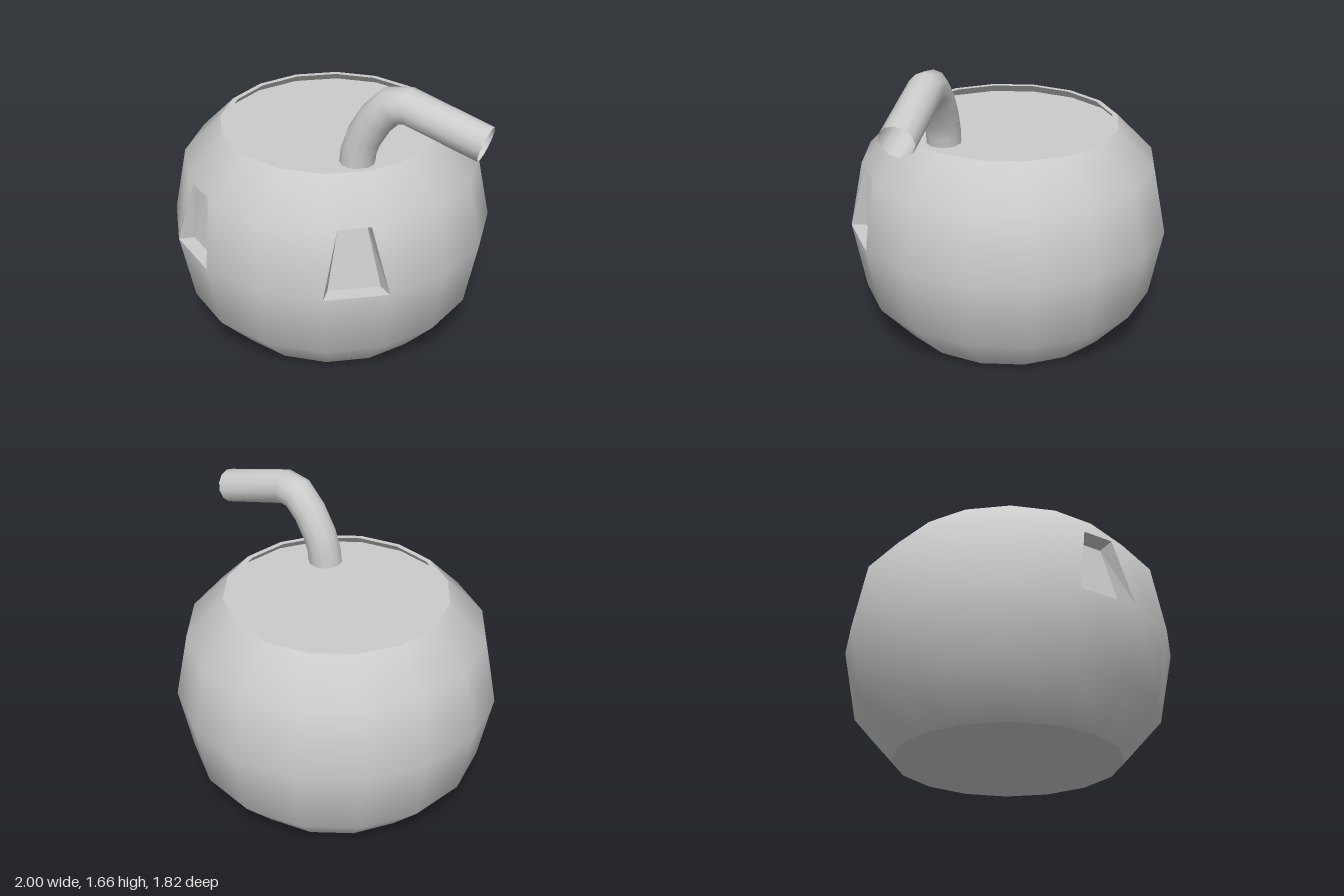
import * as THREE from 'three';

const SIDES = 16;
const CENTER_X = -0.09;
const V = (x, y, z) => new THREE.Vector3(x, y, z);
const material = new THREE.MeshStandardMaterial({ color: 0xcccccc });
const thinMaterial = new THREE.MeshStandardMaterial({ color: 0xcccccc, side: THREE.DoubleSide });

function part(name, geometry, mat = material) {
  const mesh = new THREE.Mesh(geometry, mat);
  mesh.name = name;
  return mesh;
}

function lathe(profile) {
  return new THREE.LatheGeometry(profile.map(([r, y]) => new THREE.Vector2(r, y)), SIDES);
}

// Flat-shaded quads, each given as four corners anticlockwise from outside
function quads(list) {
  const points = list.flatMap(([a, b, c, d]) => [a, b, c, a, c, d]);
  const geometry = new THREE.BufferGeometry().setFromPoints(points);
  geometry.computeVertexNormals();
  return geometry;
}

const WALL = [[0.625, 0], [0.835, 0.235], [0.91, 0.63], [0.835, 1.01], [0.625, 1.225]];
const WINDOW_ROW = 2;
const WINDOW_SEGMENTS = [15, 2];

// Round wall with trapezoid openings, plus the recess behind each opening
function wallWithWindows() {
  const source = lathe(WALL);
  const rows = WALL.length - 1;
  const position = Array.from(source.attributes.position.array);
  const normal = Array.from(source.attributes.normal.array);
  const index = Array.from(source.index.array);
  const at = (array, i) => V().fromArray(array, i * 3);
  const recesses = [];

  // A new vertex on the edge between two existing ones
  const between = (a, b, t) => {
    position.push(...at(position, a).lerp(at(position, b), t).toArray());
    normal.push(...at(normal, a).lerp(at(normal, b), t).normalize().toArray());
    return position.length / 3 - 1;
  };

  for (const segment of WINDOW_SEGMENTS) {
    const bl = segment * WALL.length + WINDOW_ROW;
    const br = bl + WALL.length;
    const tl = bl + 1, tr = br + 1;
    const wl = between(tl, tr, 0.225), wr = between(tl, tr, 0.775);
    // Swap the full wall face for the two slivers beside the opening
    index.splice((segment * rows + WINDOW_ROW) * 6, 6, bl, wl, tl, br, tr, wr);

    const outer = [bl, br, wr, wl].map((i) => at(position, i));
    const along = outer[1].clone().sub(outer[0]).normalize();
    const inward = V(along.z, 0, -along.x);
    if (inward.dot(outer[0]) > 0) inward.negate();
    const inset = [0.035, -0.035, -0.013, 0.013];
    const floor = outer.map((p, k) => p.clone()
      .addScaledVector(along, inset[k])
      .addScaledVector(inward, 0.08)
      .add(V(0, k < 2 ? 0.003 : -0.025, 0)));
    const faces = outer.map((p, k) => {
      const n = (k + 1) % 4;
      return [p, outer[n], floor[n], floor[k]];
    });
    recesses.push(part('windowRecess', quads([...faces, floor])));
  }

  const geometry = new THREE.BufferGeometry();
  geometry.setAttribute('position', new THREE.Float32BufferAttribute(position, 3));
  geometry.setAttribute('normal', new THREE.Float32BufferAttribute(normal, 3));
  geometry.setIndex(index);
  return [part('bowlWall', geometry), ...recesses];
}

// Open bent tube with mitred rings along a path in one vertical plane
function bentTube(path, radius, sides) {
  const run = path[path.length - 1].clone().sub(path[0]).setY(0).normalize();
  const side = V(-run.z, 0, run.x);
  const position = [], index = [];
  path.forEach((p, i) => {
    const next = path[Math.min(i + 1, path.length - 1)], prev = path[Math.max(i - 1, 0)];
    const ahead = next.clone().sub(p).normalize(), behind = p.clone().sub(prev).normalize();
    const tangent = ahead.clone().add(behind).normalize();
    const mitre = 1 / tangent.dot(ahead.lengthSq() ? ahead : behind);
    const up = V().crossVectors(side, tangent);
    for (let k = 0; k < sides; k++) {
      const a = (k / sides) * Math.PI * 2;
      const v = p.clone()
        .addScaledVector(side, Math.cos(a) * radius)
        .addScaledVector(up, Math.sin(a) * radius * mitre);
      position.push(v.x, v.y, v.z);
      if (i === 0) continue;
      const n = (k + 1) % sides, base = (i - 1) * sides, top = i * sides;
      index.push(base + k, base + n, top + n, base + k, top + n, top + k);
    }
  });
  const geometry = new THREE.BufferGeometry();
  geometry.setAttribute('position', new THREE.Float32BufferAttribute(position, 3));
  geometry.setIndex(index);
  geometry.computeVertexNormals();
  return geometry;
}

export function createModel() {
  const model = new THREE.Group();
  model.name = 'drinkBowl';

  // Bowl: wall with recesses, base, rim and short inner lip
  const bowl = new THREE.Group();
  bowl.name = 'bowl';
  bowl.position.x = CENTER_X;
  bowl.add(
    ...wallWithWindows(),
    part('base', lathe([[0, 0], [0.625, 0]])),
    part('rim', lathe([[0.625, 1.225], [0.595, 1.225]])),
    part('innerLip', lathe([[0.595, 1.225], [0.64, 1.175]])),
    part('drinkSurface', lathe([[0.64, 1.175], [0, 1.175]])),
  );
  model.add(bowl);

  // Straw leaning out over the left side
  const path = [[0.285, 1.1], [0.3, 1.24], [0.33, 1.335], [0.395, 1.455], [0.475, 1.545], [0.56, 1.562], [0.957, 1.44]]
    .map(([x, y]) => V(x, y, 0.155 - (x - 0.3) * 0.385));
  model.add(part('straw', bentTube(path, 0.097, 12), thinMaterial));

  return model;
}
